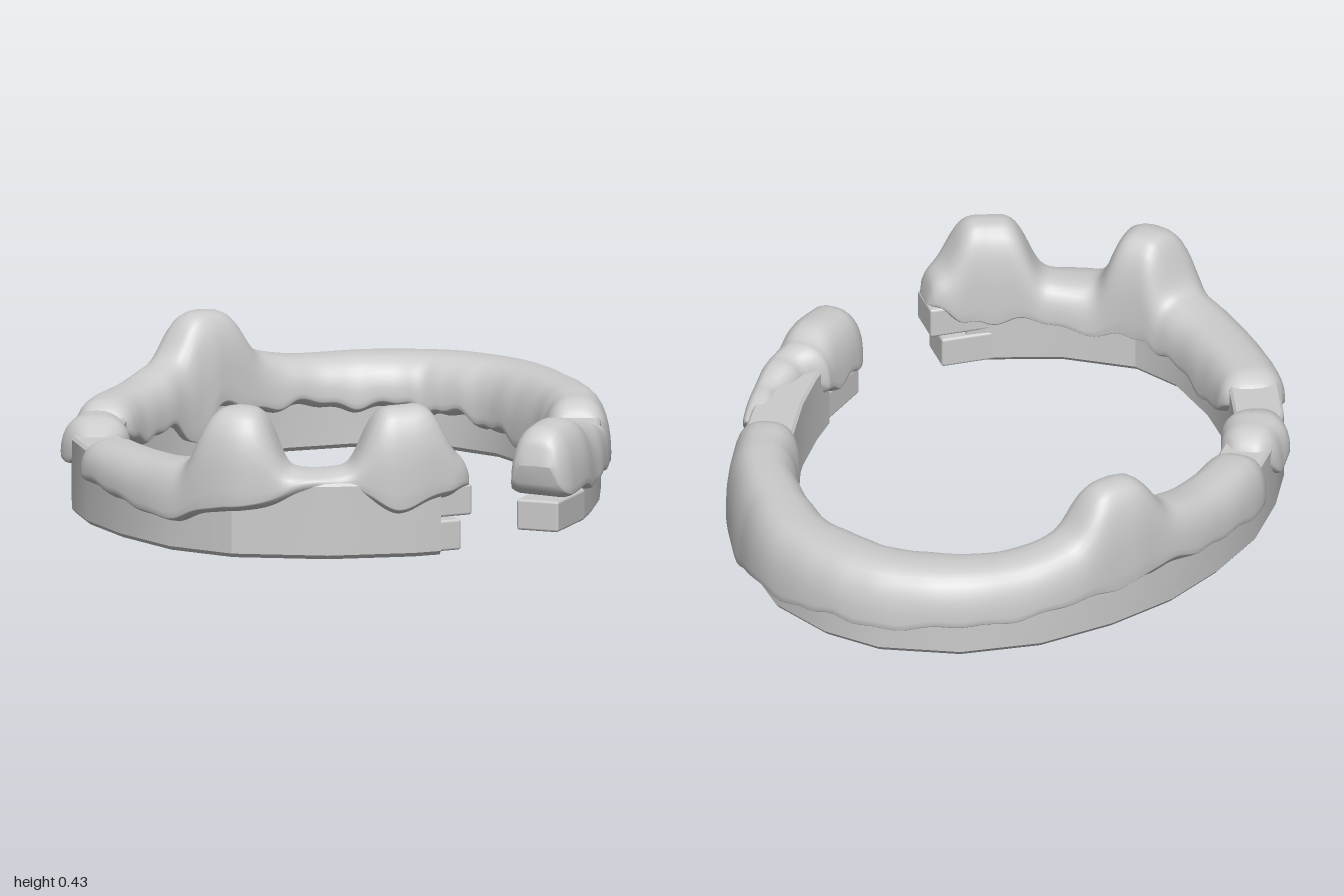
import * as THREE from 'three';
import { toCreasedNormals } from 'three/addons/utils/BufferGeometryUtils.js';
import { RoundedBoxGeometry } from 'three/addons/geometries/RoundedBoxGeometry.js';

// Centre line of the broken ring wall, [x, z], from the front gap clockwise to the other end
const LINE = [
  [0.65, 0.505], [0.54, 0.65], [0.36, 0.79], [0.13, 0.88], [-0.05, 0.865], [-0.25, 0.77], [-0.42, 0.65],
  [-0.54, 0.52], [-0.62, 0.38], [-0.69, 0.2], [-0.715, 0], [-0.71, -0.2], [-0.66, -0.4], [-0.57, -0.6],
  [-0.43, -0.76], [-0.25, -0.86], [-0.1, -0.875], [0.08, -0.84], [0.25, -0.73], [0.42, -0.57],
  [0.52, -0.4], [0.6, -0.25], [0.66, -0.1], [0.695, 0.02], [0.725, 0.22],
];
const curve = new THREE.CatmullRomCurve3(LINE.map(([x, z]) => new THREE.Vector3(x, 0, z)));
const LAST = LINE.length - 1;
const material = new THREE.MeshStandardMaterial({ color: 0xcccccc });
const mix = THREE.MathUtils.lerp;

// Position and outward direction at a (fractional) index of the centre line
function frame(t) {
  const u = THREE.MathUtils.clamp(t / LAST, 0, 1);
  const tan = curve.getTangent(u);
  return { pos: curve.getPoint(u), tan, out: new THREE.Vector3(tan.z, 0, -tan.x) };
}

// Place a cross-section [outward, height] on the centre line
function ringAt(t, section) {
  const { pos, out } = frame(t);
  return section.map(([o, y]) => pos.clone().addScaledVector(out, o).setY(y));
}

// Skin a row of closed rings and cap both ends
function loft(rings) {
  const n = rings[0].length, pos = [], idx = [];
  rings.forEach(r => r.forEach(p => pos.push(p.x, p.y, p.z)));
  for (let i = 0; i < rings.length - 1; i++) {
    for (let j = 0; j < n; j++) {
      const a = i * n + j, b = i * n + (j + 1) % n;
      idx.push(a, b, a + n, b, b + n, a + n);
    }
  }
  [0, rings.length - 1].forEach((i, end) => {
    const c = new THREE.Vector3();
    rings[i].forEach(p => c.addScaledVector(p, 1 / n));
    const ci = pos.length / 3;
    pos.push(c.x, c.y, c.z);
    for (let j = 0; j < n; j++) {
      const a = i * n + j, b = i * n + (j + 1) % n;
      if (end) idx.push(ci, a, b); else idx.push(ci, b, a);
    }
  });
  const g = new THREE.BufferGeometry();
  g.setAttribute('position', new THREE.Float32BufferAttribute(pos, 3));
  g.setIndex(idx);
  g.computeVertexNormals();
  return g;
}

function addMesh(parent, name, geometry) {
  const m = new THREE.Mesh(geometry, material);
  m.name = name;
  parent.add(m);
  return m;
}

// Rounded knolls of snow, each a steep dome on a soft flare: x, z, height, radius, steepness
const KNOLLS = [
  [0.13, 0.88, 0.145, 0.108, 4.5], [0.13, 0.88, 0.04, 0.16, 2],
  [0.53, 0.66, 0.14, 0.12, 4.5], [0.51, 0.68, 0.04, 0.17, 2],
  [-0.665, -0.35, 0.1, 0.125, 4], [-0.66, -0.34, 0.075, 0.23, 2.2],
];

// Snow keys: [index, top, halfWidth, outerEdge, innerEdge, outwardShift]
function sample(keys, t) {
  let i = 0;
  while (i < keys.length - 2 && t > keys[i + 1][0]) i++;
  const a = keys[i], b = keys[i + 1];
  const k = THREE.MathUtils.smoothstep(t, a[0], b[0]);
  return a.map((v, j) => v + (b[j] - v) * k);
}

function snow(keys) {
  const t0 = keys[0][0], t1 = keys[keys.length - 1][0];
  const steps = Math.ceil((t1 - t0) * 20), rings = [];
  const start = frame(t0).pos, stop = frame(t1).pos;
  for (let i = 0; i <= steps; i++) {
    const t = t0 + (t1 - t0) * i / steps, p = frame(t).pos;
    let [, top, w, lowOut, lowIn, shift] = sample(keys, t);
    let knoll = 0;
    for (const [x, z, h, r, e] of KNOLLS) knoll += h * Math.exp(-Math.pow(Math.hypot(p.x - x, p.z - z) / r, e));
    top += knoll;
    // uneven, dripping lower edges
    lowOut += 0.008 * Math.sin(t * 4.1) + 0.004 * Math.sin(t * 9.3);
    lowIn += 0.011 * Math.sin(t * 4.3 + 1) + 0.006 * Math.sin(t * 9.7);
    // rounded ends
    const d = Math.min(1, Math.min(p.distanceTo(start), p.distanceTo(stop)) / 0.075);
    const k = Math.sqrt(1 - (1 - d) ** 2);
    top = mix(0.2, top, k);
    lowOut = mix(0.195, lowOut, k);
    lowIn = mix(0.195, lowIn, k);
    w *= mix(0.5, 1, k);
    const section = [];
    for (let j = 0; j <= 26; j++) {
      const a = -0.9 + (Math.PI + 1.8) * j / 26, c = Math.cos(a), s = Math.sin(a);
      const low = mix(lowIn, lowOut, (c + 1) / 2);
      const y = s > 0 ? low + (top - low) * s ** (0.85 - knoll) : low + 0.025 * k * s;
      section.push([shift + w * Math.sign(c) * Math.abs(c) ** 0.75, y]);
    }
    rings.push(ringAt(t, section));
  }
  return loft(rings);
}

export function createModel() {
  const model = new THREE.Group();
  model.name = 'snowyRingWall';

  // Faceted stone wall with a small bevel at the foot, a little thicker at front and back
  const wallRing = t => {
    const o = 0.068 + 0.02 * frame(t).pos.z ** 2;
    return ringAt(t, [[o - 0.01, 0], [o, 0.012], [o, 0.212], [o - 0.008, 0.22],
      [-0.062, 0.22], [-0.07, 0.212], [-0.07, 0.012], [-0.06, 0]]);
  };
  const stops = [0.6];
  for (let i = 1; i <= 22; i++) stops.push(i);
  stops.push(22.9);
  addMesh(model, 'wall', toCreasedNormals(loft(stops.map(wallRing)), 0.45));

  // Bricks left standing at the two broken ends: [index, x, z, y, length]
  const bricks = new THREE.Group();
  bricks.name = 'endBricks';
  model.add(bricks);
  [
    [0.1, 0.587, 0.575, 0.15, 0.19],
    [0.1, 0.565, 0.6, 0.05, 0.19],
    [23.9, 0.702, 0.05, 0.155, 0.2],
    [23.9, 0.715, 0.105, 0.052, 0.22],
  ].forEach(([t, x, z, y, length]) => {
    const { tan } = frame(t);
    const b = addMesh(bricks, 'brick', new RoundedBoxGeometry(0.128, 0.09, length, 2, 0.008));
    b.position.set(x, y, z);
    b.rotation.y = Math.atan2(tan.x, tan.z);
  });

  // Snow lying along the wall
  addMesh(model, 'frontSnow', snow([
    [-0.05, 0.3, 0.075, 0.2, 0.2, 0], [0.5, 0.27, 0.09, 0.19, 0.16, 0], [1.2, 0.25, 0.098, 0.16, 0.15, 0],
    [1.8, 0.235, 0.085, 0.21, 0.14, -0.02], [2.3, 0.235, 0.095, 0.21, 0.13, -0.015],
    [3, 0.245, 0.115, 0.16, 0.13, 0], [3.8, 0.25, 0.11, 0.11, 0.13, 0], [4.8, 0.25, 0.105, 0.125, 0.1, 0],
    [5.8, 0.25, 0.1, 0.16, 0.12, 0], [6.3, 0.24, 0.095, 0.14, 0.16, 0],
  ]));
  addMesh(model, 'smallSnow', snow([
    [6.8, 0.23, 0.06, 0.17, 0.19, 0], [7.6, 0.265, 0.1, 0.15, 0.17, 0],
    [7.95, 0.265, 0.09, 0.12, 0.18, 0], [8.45, 0.25, 0.065, 0.18, 0.19, 0],
  ]));
  addMesh(model, 'backSnow', snow([
    [8.6, 0.26, 0.09, 0.13, 0.17, 0], [9.3, 0.27, 0.095, 0.12, 0.15, 0], [10.5, 0.265, 0.095, 0.15, 0.14, 0],
    [11.3, 0.26, 0.09, 0.16, 0.08, 0], [11.7, 0.26, 0.095, 0.15, 0.17, 0], [13, 0.26, 0.105, 0.13, 0.15, 0],
    [14.5, 0.27, 0.12, 0.11, 0.14, 0], [16, 0.275, 0.125, 0.1, 0.13, 0], [17.3, 0.275, 0.12, 0.07, 0.11, 0],
    [18, 0.275, 0.115, 0.045, 0.08, 0], [18.9, 0.275, 0.105, 0.04, 0.1, 0], [19.5, 0.27, 0.1, 0.1, 0.09, 0],
    [20.1, 0.26, 0.09, 0.19, 0.15, 0],
  ]));
  addMesh(model, 'endSnow', snow([
    [20.4, 0.21, 0.035, 0.17, 0.18, 0.06], [21.2, 0.235, 0.045, 0.13, 0.18, 0.055],
    [21.9, 0.265, 0.065, 0.12, 0.18, 0.035], [22.5, 0.285, 0.092, 0.115, 0.17, 0],
    [23.2, 0.31, 0.097, 0.12, 0.13, 0], [24, 0.3, 0.092, 0.11, 0.12, 0],
  ]));
  return model;
}
